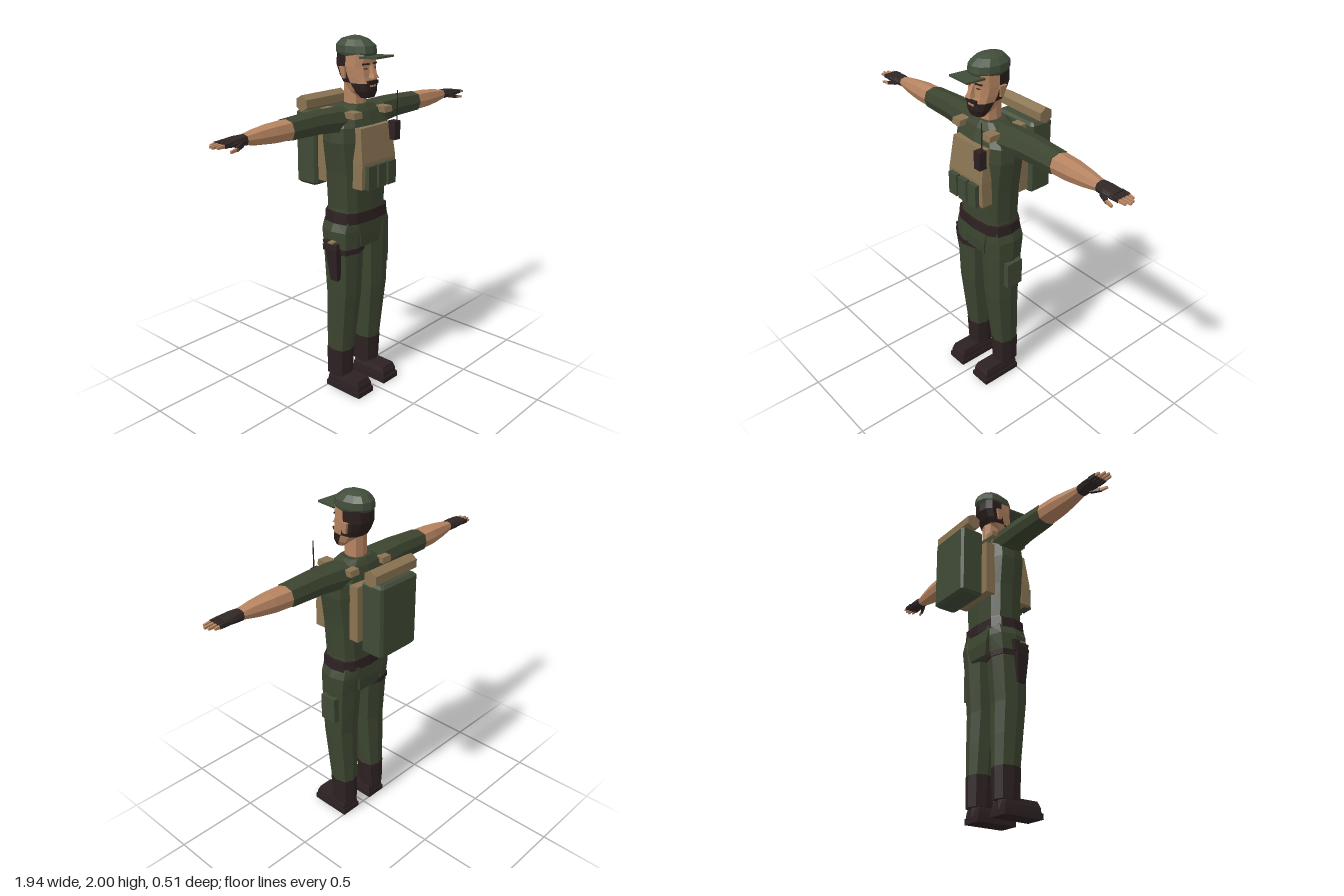
import * as THREE from 'three';

const mat = (name, color) => {
  const m = new THREE.MeshStandardMaterial({ color, flatShading: true });
  m.name = name;
  return m;
};
const M = {
  cloth: mat('fatigueGreen', 0x3c4530),
  pack: mat('packGreen', 0x404b36),
  cap: mat('capGreen', 0x414d3a),
  tan: mat('webbingTan', 0x8a7452),
  skin: mat('skin', 0xb68461),
  boot: mat('bootBrown', 0x2d2122),
  glove: mat('gloveBrown', 0x302726),
  hair: mat('hairBrown', 0x2a1e1c),
};

const UP = (a, b, t) => [a, t, b];        // sections [y, x0, x1, z0, z1]
const SIDE = (a, b, t) => [t, b, a];      // sections [x, z0, z1, y0, y1]

// Closed skin over superellipse sections; colour(row, side) picks a material index
function loft(name, materials, sections, { n = 8, e = 0.75, axis = UP, mirror = 1, turn = 0, colour } = {}) {
  const mats = [].concat(materials);
  const pow = (v) => Math.sign(v) * Math.pow(Math.abs(v), e);
  const rings = sections.map(([t, a0, a1, b0, b1]) => Array.from({ length: n }, (_, k) => {
    const an = turn + (k / n) * Math.PI * 2;
    const p = new THREE.Vector3(...axis(
      (a0 + a1) / 2 + ((a1 - a0) / 2) * pow(Math.sin(an)),
      (b0 + b1) / 2 + ((b1 - b0) / 2) * pow(Math.cos(an)), t));
    p.x *= mirror;
    return p;
  }));
  const buckets = mats.map(() => []);
  const put = (r, k, ...tri) => buckets[colour ? colour(r, k) : 0].push(tri);
  for (let r = 0; r < rings.length - 1; r++) {
    for (let k = 0; k < n; k++) {
      const j = (k + 1) % n, A = rings[r], B = rings[r + 1];
      put(r, k, A[k], A[j], B[j]);
      put(r, k, A[k], B[j], B[k]);
    }
  }
  const last = rings.length - 1;
  for (let k = 1; k < n - 1; k++) {
    put(-1, k, rings[0][0], rings[0][k + 1], rings[0][k]);
    put(last, k, rings[last][0], rings[last][k], rings[last][k + 1]);
  }
  // Turn all faces outward
  const cross = new THREE.Vector3();
  const volume = buckets.flat().reduce((s, [a, b, c]) => s + a.dot(cross.crossVectors(b, c)), 0);
  const geo = new THREE.BufferGeometry();
  const pos = [];
  buckets.forEach((tris, i) => {
    geo.addGroup(pos.length / 3, tris.length * 3, i);
    for (const [a, b, c] of tris) for (const p of volume < 0 ? [a, c, b] : [a, b, c]) pos.push(p.x, p.y, p.z);
  });
  geo.setAttribute('position', new THREE.Float32BufferAttribute(pos, 3));
  geo.computeVertexNormals();
  const mesh = new THREE.Mesh(geo, mats.length > 1 ? mats : mats[0]);
  mesh.name = name;
  return mesh;
}

const BOX = { n: 4, e: 0, turn: Math.PI / 4 };
const slab = (name, m, sections, opt = {}) => loft(name, m, sections, { ...BOX, ...opt });
// Plain box given by its limits
const box = (name, m, x0, x1, y0, y1, z0, z1) => {
  const mesh = new THREE.Mesh(new THREE.BoxGeometry(x1 - x0, y1 - y0, z1 - z0), m);
  mesh.position.set((x0 + x1) / 2, (y0 + y1) / 2, (z0 + z1) / 2);
  mesh.name = name;
  return mesh;
};

function makeHead() {
  const g = new THREE.Group();
  g.name = 'head';
  g.add(loft('neck', M.skin, [[1.6, -0.07, 0.07, -0.01, 0.12], [1.65, -0.052, 0.052, 0, 0.108], [1.78, -0.052, 0.052, 0, 0.11]]));
  // Skull with beard at the front and hair at the back
  g.add(loft('skull', [M.skin, M.hair], [
    [1.692, -0.045, 0.045, 0.1, 0.168], [1.725, -0.066, 0.066, 0.045, 0.178], [1.768, -0.076, 0.076, 0.0, 0.176],
    [1.8, -0.082, 0.082, -0.02, 0.168], [1.85, -0.086, 0.086, -0.042, 0.162], [1.915, -0.084, 0.084, -0.04, 0.165],
  ], {
    n: 12,
    colour: (r, k) => {
      const a = Math.min(k, 11 - k);
      if (r < 2) return a < 3 ? 1 : 0;
      if (r === 2) return a >= 3 ? 1 : 0;
      return a >= 3 ? 1 : 0;
    },
  }));
  g.add(slab('nose', M.skin, [[1.795, -0.02, 0.02, 0.15, 0.2], [1.815, -0.014, 0.014, 0.15, 0.192], [1.86, -0.008, 0.008, 0.15, 0.168]]));
  g.add(box('moustache', M.hair, -0.038, 0.038, 1.765, 1.782, 0.15, 0.182));
  g.add(box('lips', M.skin, -0.02, 0.02, 1.75, 1.758, 0.174, 0.18));
  for (const s of [1, -1]) {
    g.add(slab('ear', M.skin, [[1.79, 0.07, 0.09, 0.04, 0.06], [1.85, 0.07, 0.097, 0.025, 0.068]], { mirror: s }));
    const eye = box('eye', M.hair, -0.012, 0.012, -0.003, 0.003, -0.004, 0.004);
    eye.position.set(s * 0.035, 1.842, 0.153);
    eye.rotation.y = s * 0.3;
    const brow = box('eyebrow', M.hair, -0.02, 0.02, -0.004, 0.004, -0.004, 0.004);
    brow.position.set(s * 0.036, 1.866, 0.156);
    brow.rotation.y = s * 0.3;
    g.add(eye, brow);
  }
  // Field cap
  g.add(loft('capCrown', M.cap, [
    [1.903, -0.084, 0.084, -0.045, 0.172], [1.92, -0.089, 0.089, -0.056, 0.178], [1.955, -0.086, 0.086, -0.054, 0.172],
    [1.985, -0.06, 0.06, -0.025, 0.13], [2.0, -0.022, 0.022, 0.03, 0.085],
  ], { n: 12, e: 0.95 }));
  const brim = slab('capBrim', M.cap, [[-0.005, -0.07, 0.07, -0.06, 0.055], [0.005, -0.07, 0.07, -0.06, 0.055]]);
  brim.position.set(0, 1.904, 0.2);
  brim.rotation.x = -0.06;
  g.add(brim);
  return g;
}

function makeArm(s) {
  const g = new THREE.Group();
  g.name = s > 0 ? 'leftArm' : 'rightArm';
  const o = { axis: SIDE, mirror: s };
  // Sections run outward along x: [x, y0, y1, z0, z1]
  g.add(loft('sleeve', M.cloth, [
    [0.08, 1.5, 1.645, -0.035, 0.14], [0.17, 1.515, 1.652, -0.032, 0.13], [0.3, 1.528, 1.655, -0.024, 0.12], [0.5, 1.532, 1.645, -0.018, 0.112],
  ].map(([x, y0, y1, z0, z1]) => [x, y0, y1, z0, z1]), { ...o, axis: (a, b, t) => [t, a, b] }));
  const along = { ...o, axis: (a, b, t) => [t, a, b] };
  g.add(loft('forearm', M.skin, [[0.49, 1.535, 1.642, -0.015, 0.108], [0.6, 1.538, 1.64, -0.008, 0.105], [0.7, 1.55, 1.63, 0.008, 0.096], [0.79, 1.568, 1.615, 0.024, 0.084]], along));
  g.add(loft('glove', M.glove, [[0.775, 1.563, 1.618, 0.02, 0.088], [0.82, 1.568, 1.617, 0.014, 0.096], [0.885, 1.575, 1.61, 0.012, 0.1]], along));
  // Half-gloved fingers
  [0.022, 0.044, 0.066, 0.088].forEach((z, i) => {
    const tip = [0.945, 0.965, 0.972, 0.958][i];
    g.add(slab('fingerGlove', M.glove, [[0.87, 1.582, 1.604, z - 0.009, z + 0.009], [0.92, 1.582, 1.601, z - 0.008, z + 0.008]], along));
    g.add(slab('fingertip', M.skin, [[0.915, 1.584, 1.6, z - 0.007, z + 0.007], [tip, 1.584, 1.595, z - 0.005, z + 0.005]], along));
  });
  g.add(slab('thumbGlove', M.glove, [[0.81, 1.57, 1.597, 0.07, 0.095], [0.865, 1.56, 1.58, 0.098, 0.115]], along));
  g.add(slab('thumbTip', M.skin, [[0.86, 1.562, 1.578, 0.099, 0.114], [0.905, 1.56, 1.572, 0.11, 0.121]], along));
  return g;
}

function makeLeg(s) {
  const g = new THREE.Group();
  g.name = s > 0 ? 'leftLeg' : 'rightLeg';
  const o = { mirror: s };
  g.add(loft('trouser', M.cloth, [
    [0.24, 0.047, 0.178, -0.022, 0.123], [0.42, 0.034, 0.187, -0.02, 0.142], [0.6, 0.024, 0.195, -0.015, 0.162],
    [0.88, 0.01, 0.203, -0.035, 0.17], [0.98, 0.015, 0.203, -0.048, 0.172], [1.04, 0.02, 0.18, -0.045, 0.172],
  ], o));
  g.add(loft('bootShaft', M.boot, [[0.08, 0.053, 0.176, -0.024, 0.118], [0.25, 0.046, 0.181, -0.025, 0.126]], o));
  g.add(loft('bootAnkle', M.boot, [[0.02, 0.062, 0.165, -0.002, 0.11], [0.1, 0.062, 0.165, -0.002, 0.11]], o));
  g.add(slab('bootFoot', M.boot, [[0.03, 0.054, 0.168, 0.0, 0.235], [0.06, 0.057, 0.166, 0.003, 0.232], [0.092, 0.066, 0.158, 0.01, 0.218]], o));
  g.add(slab('bootSole', M.boot, [[0, 0.05, 0.174, -0.005, 0.243], [0.032, 0.05, 0.174, -0.005, 0.243]], o));
  return g;
}

function makeGear() {
  const g = new THREE.Group();
  g.name = 'gear';
  // Vest plates, shoulder straps and magazine pouches
  g.add(slab('chestPlate', M.tan, [[1.23, -0.138, 0.138, 0.16, 0.224], [1.37, -0.135, 0.135, 0.16, 0.224], [1.55, -0.122, 0.122, 0.16, 0.2]]));
  g.add(slab('backPlate', M.tan, [[1.23, -0.138, 0.138, -0.09, -0.03], [1.55, -0.138, 0.138, -0.09, -0.03]]));
  for (const s of [1, -1]) {
    g.add(slab('shoulderStrap', M.tan, [[1.6, 0.09, 0.152, -0.06, 0.186], [1.632, 0.09, 0.152, -0.055, 0.18]], { mirror: s }));
  }
  for (const x of [-0.079, 0, 0.079]) g.add(box('magazinePouch', M.pack, x - 0.032, x + 0.032, 1.228, 1.355, 0.2, 0.25));
  // Radio
  g.add(box('radio', M.boot, 0.1, 0.146, 1.46, 1.56, 0.2, 0.246));
  const antenna = new THREE.Mesh(new THREE.CylinderGeometry(0.003, 0.004, 0.17, 6), M.boot);
  antenna.position.set(0.141, 1.635, 0.226);
  antenna.name = 'antenna';
  g.add(antenna);
  // Backpack and bedroll
  g.add(loft('backpack', M.pack, [
    [1.185, -0.125, 0.125, -0.242, -0.128], [1.2, -0.14, 0.14, -0.256, -0.114],
    [1.585, -0.14, 0.14, -0.256, -0.114], [1.6, -0.125, 0.125, -0.242, -0.128],
  ], { n: 8, e: 0.16, turn: Math.PI / 8 }));
  const roll = new THREE.Mesh(new THREE.CylinderGeometry(0.045, 0.045, 0.31, 6), M.tan);
  roll.rotation.set(Math.PI / 2, 0, Math.PI / 2, 'ZXY');
  roll.rotation.set(0, 0, Math.PI / 2);
  roll.geometry.rotateY(Math.PI / 6);
  roll.position.set(0, 1.636, -0.192);
  roll.name = 'bedroll';
  g.add(roll);
  // Thigh pouch, thigh strap and holster
  g.add(box('thighPouch', M.pack, 0.17, 0.22, 0.7, 0.855, 0.015, 0.117));
  g.add(loft('thighStrap', M.boot, [[0.855, -0.209, -0.006, -0.04, 0.176], [0.885, -0.209, -0.006, -0.042, 0.177]]));
  const holster = new THREE.Group();
  holster.name = 'holster';
  holster.add(slab('holsterPouch', M.boot, [[-0.12, -0.014, 0.014, -0.02, 0.03], [0.03, -0.018, 0.018, -0.035, 0.04], [0.07, -0.018, 0.018, -0.035, 0.04]]));
  holster.add(slab('pistolGrip', M.glove, [[0.05, -0.012, 0.012, -0.045, 0.0], [0.11, -0.012, 0.012, -0.06, -0.02]]));
  holster.add(box('pistolSlide', M.glove, -0.012, 0.012, 0.06, 0.1, -0.04, 0.04));
  holster.add(box('holsterTab', M.tan, -0.016, 0.016, 0.1, 0.108, -0.02, 0.015));
  holster.position.set(-0.208, 0.825, 0.085);
  holster.rotation.z = 0.09;
  g.add(holster);
  return g;
}

export function createModel() {
  const model = new THREE.Group();
  model.name = 'soldier';
  model.add(makeHead());
  model.add(loft('torso', M.cloth, [
    [1.03, -0.172, 0.172, -0.048, 0.176], [1.1, -0.165, 0.165, -0.046, 0.175], [1.3, -0.176, 0.176, -0.05, 0.18],
    [1.47, -0.2, 0.2, -0.052, 0.18], [1.55, -0.195, 0.195, -0.05, 0.172], [1.62, -0.15, 0.15, -0.035, 0.145], [1.655, -0.08, 0.08, -0.015, 0.122],
  ], { n: 12, e: 0.65 }));
  model.add(loft('belt', M.boot, [[1.025, -0.186, 0.186, -0.056, 0.186], [1.085, -0.182, 0.182, -0.054, 0.184]], { n: 12, e: 0.65 }));
  model.add(slab('hips', M.cloth, [[0.88, -0.068, 0.074, -0.045, 0.165], [0.95, -0.085, 0.085, -0.055, 0.174], [1.04, -0.11, 0.11, -0.048, 0.174]]));
  for (const s of [1, -1]) model.add(makeArm(s), makeLeg(s));
  model.add(makeGear());
  return model;
}
